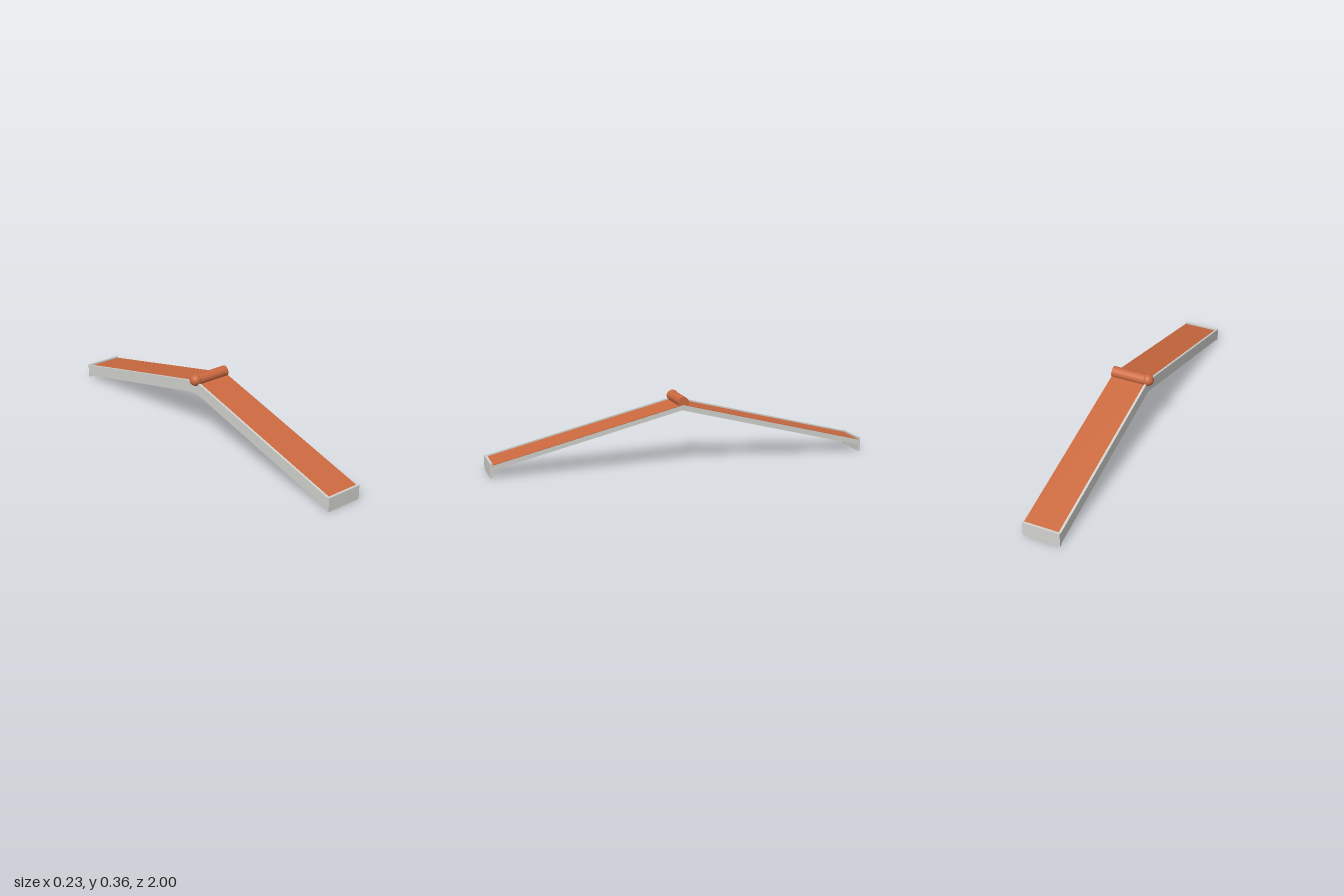
import * as THREE from 'three';

const SLOPE = 0.25;
const LEFT = 0.112;     // open cut side
const VERGE = -0.087;   // outer face of the side board
const BOARD = 0.012;

// Gabled strip of constant thickness, extruded along x
function gable(top, bottom, half, x0, x1) {
  const drop = half * SLOPE;
  const shape = new THREE.Shape([
    [-half, bottom - drop], [0, bottom], [half, bottom - drop],
    [half, top - drop], [0, top], [-half, top - drop],
  ].map(([z, y]) => new THREE.Vector2(z, y)));
  return new THREE.ExtrudeGeometry(shape, { depth: x1 - x0, bevelEnabled: false })
    .rotateY(Math.PI / 2).translate(x0, 0, 0);
}

export function createModel() {
  const group = new THREE.Group();
  const tile = new THREE.MeshStandardMaterial({ color: 0xcc6a40 });
  tile.name = 'terracotta';
  const trim = new THREE.MeshStandardMaterial({ color: 0xd2d2ce });
  trim.name = 'paleGrey';

  const add = (name, geometry, material) => {
    const mesh = new THREE.Mesh(geometry, material);
    mesh.name = name;
    group.add(mesh);
    return mesh;
  };

  // Roof deck with a thin tile covering
  const inner = VERGE + BOARD;
  add('roofDeck', gable(0.31, 0.285, 0.988, inner, LEFT), trim);
  add('tileCovering', gable(0.313, 0.31, 0.987, inner, LEFT), tile);

  // Side board, standing just above the tiles and hanging below the deck
  add('vergeBoard', gable(0.32, 0.256, 0.999, VERGE, inner), trim);

  // Upright boards closing both eaves
  for (const side of [1, -1]) {
    const board = add(side > 0 ? 'frontEaveBoard' : 'backEaveBoard',
      new THREE.BoxGeometry(LEFT - VERGE, 0.075, 0.013), trim);
    board.position.set((LEFT + VERGE) / 2, 0.0375, side * 0.9935);
  }

  // Ridge roll with a ball end
  const ridgeStart = -0.083;
  const ridge = add('ridgeRoll',
    new THREE.CylinderGeometry(0.029, 0.029, LEFT - ridgeStart, 32).rotateZ(Math.PI / 2), tile);
  ridge.position.set((LEFT + ridgeStart) / 2, 0.323, 0);
  const ball = add('ridgeBall', new THREE.SphereGeometry(0.031, 32, 20), tile);
  ball.position.set(ridgeStart, 0.325, 0);

  return group;
}
